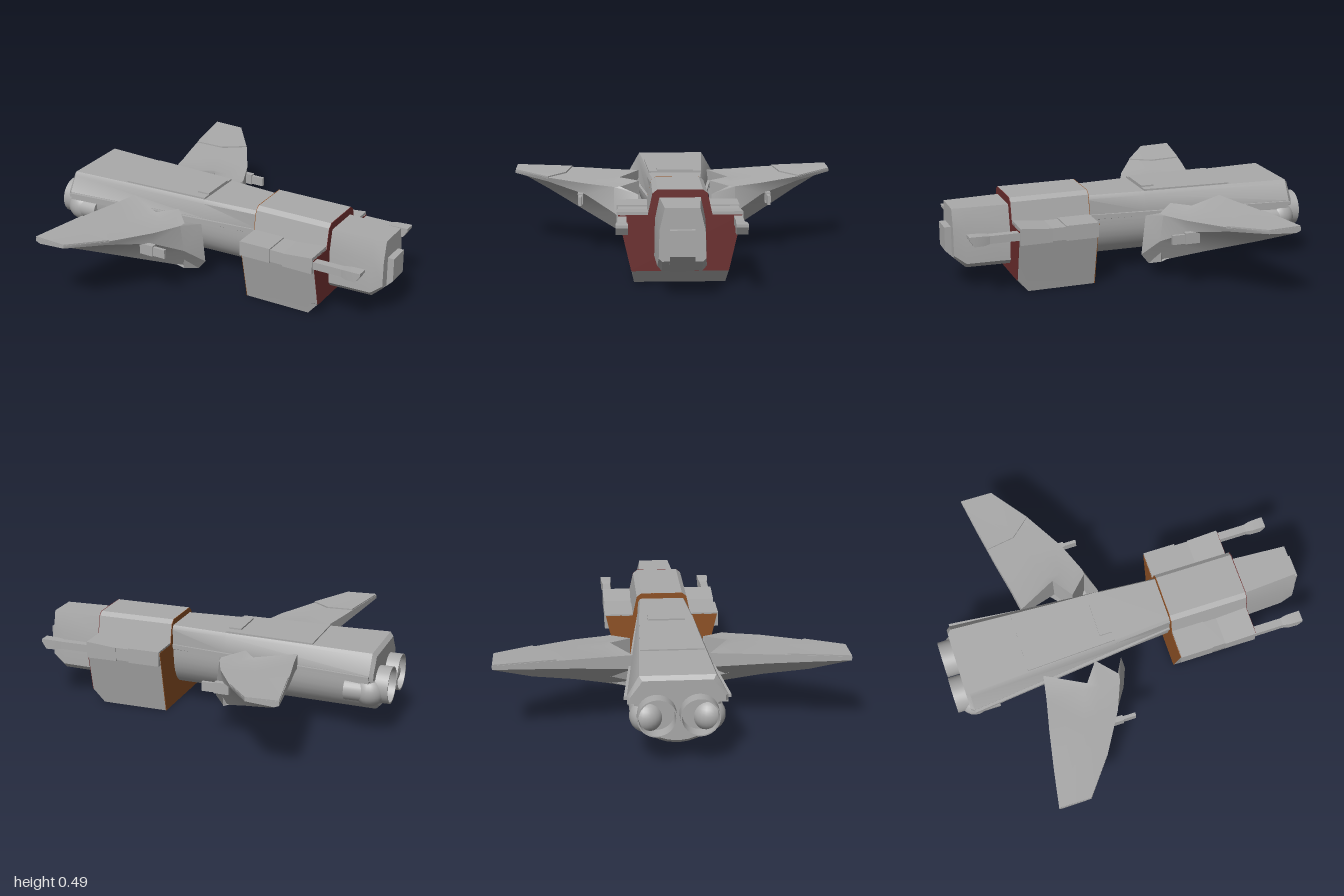
import * as THREE from 'three';
import { toCreasedNormals } from 'three/addons/utils/BufferGeometryUtils.js';

const mat = (name, color, extra = {}) => {
  const m = new THREE.MeshStandardMaterial({ color, ...extra });
  m.name = name;
  return m;
};

// Closed solid through equal-length rings of [x, y, z] points, always facing outwards
function loft(rings, crease = 0.5) {
  const n = rings[0].length;
  const p = rings.flat();
  const tris = [];
  for (let r = 0; r < rings.length - 1; r++) {
    for (let i = 0; i < n; i++) {
      const a = r * n + i, b = r * n + (i + 1) % n;
      tris.push([a, b, b + n], [a, b + n, a + n]);
    }
  }
  const cap = (o, flip) => {
    let lo = 0, hi = n - 1;
    const add = (a, b, c) => tris.push(flip ? [o + a, o + c, o + b] : [o + a, o + b, o + c]);
    while (hi - lo > 1) {
      add(lo, lo + 1, hi);
      lo++;
      if (hi - lo > 1) { add(lo, hi - 1, hi); hi--; }
    }
  };
  cap(0, true);
  cap((rings.length - 1) * n, false);
  const v = p.map(q => new THREE.Vector3(...q));
  let volume = 0;
  for (const [a, b, c] of tris) volume += v[a].dot(v[b].clone().cross(v[c]));
  const g = new THREE.BufferGeometry();
  g.setAttribute('position', new THREE.Float32BufferAttribute(p.flat(), 3));
  g.setIndex(tris.flatMap(([a, b, c]) => (volume < 0 ? [a, c, b] : [a, b, c])));
  return toCreasedNormals(g, crease);
}

// Symmetric ring at x from a half outline of [z, y]
const ring = (x, half) => [
  ...half.map(([z, y]) => [x, y, z]),
  ...half.slice().reverse().map(([z, y]) => [x, y, -z]),
];
// Rectangular ring at x
const rect = (x, y0, y1, z0, z1) => [[x, y0, z0], [x, y1, z0], [x, y1, z1], [x, y0, z1]];
const lerp = (a, b, t) => a.map((q, i) => q + (b[i] - q) * t);

export function createModel() {
  const group = new THREE.Group();
  group.name = 'spacecraft';
  const grey = mat('hull grey', 0xaaaaaa, { side: THREE.DoubleSide });
  const maroon = mat('front bulkhead maroon', 0x6c2e2e);
  const brown = mat('rear bulkhead brown', 0x8f5226);
  const add = (name, geo, m = grey) => {
    const mesh = new THREE.Mesh(geo, m);
    mesh.name = name;
    group.add(mesh);
    return mesh;
  };

  // Fuselage: flat roof, sloping sides, small ledge, rounded belly
  const bodyHalf = (t, s, l, d = 0) => {
    const h = [[t, 0.46 - d], [t + 0.012, 0.44 - d], [s, 0.355], [s, 0.325], [l, 0.32]];
    for (let i = 0; i <= 8; i++) {
      const a = (i / 8) * 1.5;
      h.push([l * Math.cos(a), 0.29 - (0.19 - d) * Math.sin(a)]);
    }
    return h;
  };
  add('fuselage', loft([
    ring(-0.93, bodyHalf(0.175, 0.235, 0.2, 0.02)),
    ring(-0.91, bodyHalf(0.19, 0.25, 0.215)),
    ring(-0.09, bodyHalf(0.145, 0.162, 0.15)),
    ring(0.24, bodyHalf(0.12, 0.13, 0.122)),
  ]));
  add('roofPlate', loft([rect(-0.58, 0.45, 0.467, -0.165, 0.165), rect(-0.09, 0.45, 0.47, -0.145, 0.145)]));
  add('roofHatch', loft([rect(-0.16, 0.46, 0.478, -0.1, 0.1), rect(-0.09, 0.46, 0.478, -0.1, 0.1)]));

  // Wide midsection with coloured bulkheads at both ends
  const mid = [[0.115, 0.49], [0.14, 0.47], [0.165, 0.355], [0.315, 0.36], [0.25, 0.07], [0.235, 0]];
  const midFront = [...mid.slice(0, 4), [0.25, 0.075], [0.245, 0.07]];
  add('midsection', loft([ring(0.23, mid), ring(0.6, mid), ring(0.66, midFront)]));
  add('frontBulkhead', loft([ring(0.659, midFront), ring(0.663, midFront)]), maroon);
  add('rearBulkhead', loft([ring(0.227, mid), ring(0.231, mid)]), brown);

  // Nose
  add('nose', loft([
    ring(0.66, [[0.105, 0.45], [0.128, 0.34], [0.132, 0.15], [0.11, 0.125]]),
    ring(0.9, [[0.09, 0.45], [0.117, 0.34], [0.122, 0.15], [0.1, 0.125]]),
    ring(0.965, [[0.086, 0.45], [0.112, 0.34], [0.116, 0.2], [0.1, 0.185]]),
  ]));
  add('noseBlock', loft([rect(0.9, 0.122, 0.345, -0.062, 0.062), rect(0.965, 0.18, 0.345, -0.062, 0.062),
    rect(1, 0.215, 0.345, -0.062, 0.062)]));

  for (const s of [1, -1]) {
    const side = s > 0 ? 'Left' : 'Right';
    const sided = (name, rings) => add(name + side, loft(rings.map(r => r.map(([x, y, z]) => [x, y, z * s]))));
    const bar = (name, x0, x1, y0, y1, z0, z1) => sided(name, [rect(x0, y0, y1, z0, z1), rect(x1, y0, y1, z0, z1)]);

    // Side rails along the fuselage
    for (const [y, out] of [[0.335, 0.265], [0.312, 0.25]]) {
      sided('rail', [
        rect(-0.91, y, y + 0.018, out - 0.04, out),
        rect(-0.09, y, y + 0.018, out - 0.12, out - 0.088),
        rect(0.23, y, y + 0.018, out - 0.15, out - 0.125),
      ]);
    }

    // Shoulder pods and guns
    bar('podRear', 0.232, 0.41, 0.285, 0.367, 0.16, 0.322);
    bar('podMiddle', 0.41, 0.485, 0.29, 0.36, 0.16, 0.316);
    sided('podFront', [rect(0.485, 0.285, 0.36, 0.16, 0.32), rect(0.658, 0.285, 0.376, 0.16, 0.322)]);
    bar('gunBarrel', 0.65, 0.84, 0.312, 0.354, 0.272, 0.315);
    sided('gunMuzzle', [
      rect(0.82, 0.312, 0.354, 0.272, 0.315),
      rect(0.85, 0.306, 0.358, 0.266, 0.322),
      rect(0.905, 0.306, 0.36, 0.265, 0.325),
      rect(0.93, 0.345, 0.36, 0.265, 0.325),
    ]);

    // Wing: sections run trailing low, keel, leading low, leading top, trailing top
    const section = (z, tb, keel, ll, lt, tt) => {
      const [a, b, c, d, e] = [tb, keel, ll, lt, tt].map(([x, y]) => [x, y, z]);
      return [a, lerp(a, b, 0.45), lerp(a, b, 0.65), lerp(a, b, 0.9), b, c, d,
        lerp(d, e, 0.1), lerp(d, e, 0.3), lerp(d, e, 0.5), e];
    };
    sided('wing', [
      section(0.915, [-0.645, 0.405], [-0.62, 0.395], [-0.47, 0.405], [-0.47, 0.42], [-0.645, 0.425]),
      section(0.72, [-0.612, 0.39], [-0.5, 0.305], [-0.335, 0.375], [-0.32, 0.4], [-0.612, 0.425]),
      section(0.5, [-0.57, 0.37], [-0.31, 0.205], [-0.2, 0.32], [-0.19, 0.385], [-0.57, 0.42]),
      section(0.34, [-0.535, 0.35], [-0.19, 0.13], [-0.105, 0.23], [-0.125, 0.375], [-0.535, 0.415]),
      // Toothed root
      [[-0.51, 0.335, 0.2], [-0.3, 0.21, 0.305], [-0.22, 0.15, 0.2], [-0.13, 0.1, 0.3], [-0.095, 0.065, 0.205],
        [-0.052, 0.12, 0.205], [-0.075, 0.34, 0.205], [-0.12, 0.378, 0.305], [-0.22, 0.395, 0.2],
        [-0.3, 0.403, 0.31], [-0.51, 0.412, 0.2]],
    ]);
    // Raised outer wing panel
    const panel = [[-0.585, 0.415, 0.59], [-0.43, 0.402, 0.62], [-0.322, 0.393, 0.72],
      [-0.47, 0.413, 0.914], [-0.643, 0.418, 0.914]];
    sided('wingPanel', [panel, panel.map(([x, y, z]) => [x, y + 0.014, z])]);
    // Small wing gun
    bar('wingGunMount', -0.25, -0.17, 0.27, 0.33, 0.515, 0.545);
    bar('wingGun', -0.2, -0.1, 0.272, 0.322, 0.521, 0.539);

    // Engine bell, open to the rear
    const bell = new THREE.LatheGeometry([
      [0.001, 0.03], [0.06, 0.03], [0.088, 0.06], [0.092, 0.15], [0.099, 0.15], [0.099, 0],
    ].map(([r, h]) => new THREE.Vector2(r, h)), 32);
    const engine = add('engine' + side, toCreasedNormals(bell.rotateZ(Math.PI / 2), 0.6));
    engine.position.set(-0.85, 0.268, s * 0.106);

    // Rounded side thruster with a forward stub
    const dome = add('thrusterDome' + side, new THREE.SphereGeometry(0.085, 24, 16));
    dome.position.set(-0.895, 0.245, s * 0.155);
    const stub = add('thrusterStub' + side, new THREE.CylinderGeometry(0.06, 0.06, 0.13, 24).rotateZ(Math.PI / 2));
    stub.position.set(-0.835, 0.247, s * 0.175);
  }
  return group;
}
